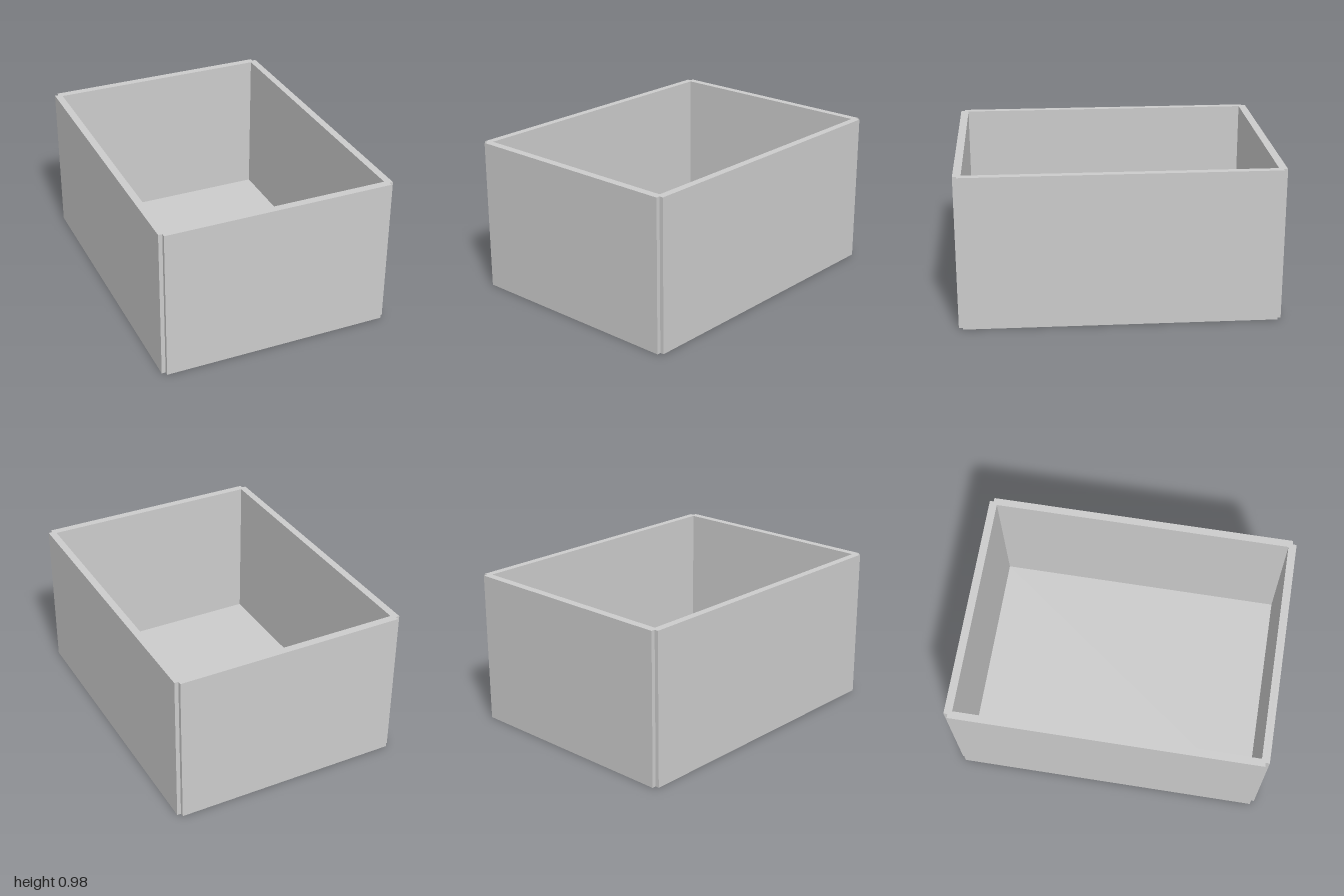
import * as THREE from 'three';

const HEIGHT = 0.977, FLOOR = 0.005;
const OUT_X = 0.755, OUT_Z = 1, NOTCH = 0.025;
const IN_X = 0.708, IN_Z = 0.95;

// Rectangle outline with a small square notch cut from each corner
function notchedOutline(x, z, n) {
  return new THREE.Shape([
    [x - n, -z], [x - n, -z + n], [x, -z + n],
    [x, z - n], [x - n, z - n], [x - n, z],
    [-x + n, z], [-x + n, z - n], [-x, z - n],
    [-x, -z + n], [-x + n, -z + n], [-x + n, -z],
  ].map(([a, b]) => new THREE.Vector2(a, b)));
}

export function createModel() {
  const group = new THREE.Group();
  group.name = 'openBox';
  const material = new THREE.MeshStandardMaterial({ color: 0xcccccc });

  // Four walls in one ring, open at the top
  const outline = notchedOutline(OUT_X, OUT_Z, NOTCH);
  outline.holes.push(new THREE.Path([
    new THREE.Vector2(-IN_X, -IN_Z), new THREE.Vector2(-IN_X, IN_Z),
    new THREE.Vector2(IN_X, IN_Z), new THREE.Vector2(IN_X, -IN_Z),
  ]));
  const wallGeometry = new THREE.ExtrudeGeometry(outline, { depth: HEIGHT, bevelEnabled: false });
  wallGeometry.rotateX(-Math.PI / 2);
  const walls = new THREE.Mesh(wallGeometry, material);
  walls.name = 'walls';

  // Thin floor between the walls
  const floor = new THREE.Mesh(new THREE.BoxGeometry(2 * IN_X, FLOOR, 2 * IN_Z), material);
  floor.name = 'floor';
  floor.position.y = FLOOR / 2;

  group.add(walls, floor);
  return group;
}
